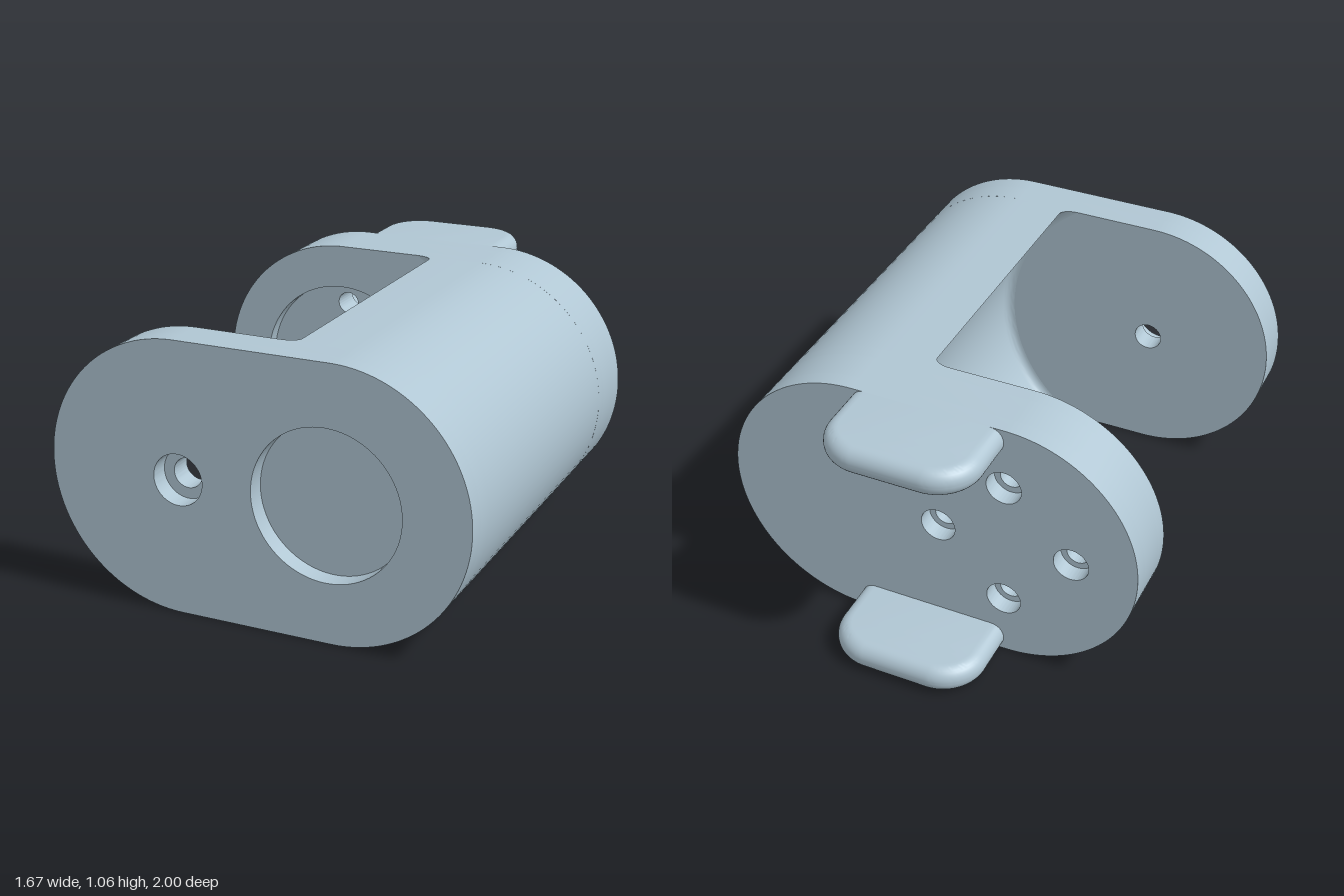
import * as THREE from 'three';
import { toCreasedNormals } from 'three/addons/utils/BufferGeometryUtils.js';

const R = 0.531, CX = 0.305;          // end radius and end centre of the oblong outline
const BORE = 0.67, FILLET = 0.04;     // concave inner wall
const BACK = -0.66, BACK_IN = -0.395, FRONT_IN = 0.835, FRONT = 1;

function oblong() {
  const s = new THREE.Shape();
  s.absarc(CX, R, R, -Math.PI / 2, Math.PI / 2, false);
  s.absarc(-CX, R, R, Math.PI / 2, Math.PI * 1.5, false);
  s.closePath();
  return s;
}

// oblong slab from z0 to z1 with round holes [x, y, radius]
function slab(z0, z1, holes) {
  const s = oblong();
  for (const [x, y, r] of holes) s.holes.push(new THREE.Path().absarc(x, y, r, 0, Math.PI * 2, true));
  const g = new THREE.ExtrudeGeometry(s, { depth: z1 - z0, bevelEnabled: false, curveSegments: 40 });
  g.translate(0, 0, z0);
  return toCreasedNormals(g, 0.5);
}

// cross-section of the side wall for a given bore radius
function wallSection(r) {
  const pts = [], n = 40;
  for (let i = 0; i <= n; i++) {
    const a = -Math.PI / 2 + Math.PI * i / n;
    pts.push([CX + R * Math.cos(a), R + R * Math.sin(a)]);
  }
  const t = Math.asin(R / r);
  for (let i = 0; i <= n; i++) {
    const a = t - 2 * t * i / n;
    pts.push([-CX + r * Math.cos(a), R + r * Math.sin(a)]);
  }
  return pts;
}

// side wall lofted between the plates, filleted where it meets them
function sideWallGeometry() {
  const rows = [], steps = 8;
  for (let k = 0; k <= steps; k++) {
    const t = (k / steps) * Math.PI / 2;
    rows.push([FILLET * (1 - Math.cos(t)), BORE - FILLET + FILLET * Math.sin(t)]);
  }
  const levels = [
    ...rows.map(([d, r]) => [BACK_IN + d, r]),
    ...rows.slice().reverse().map(([d, r]) => [FRONT_IN - d, r]),
  ];
  const pos = [], idx = [];
  let n = 0;
  levels.forEach(([z, r], j) => {
    const sec = wallSection(r);
    n = sec.length;
    for (const [x, y] of sec) pos.push(x, y, z);
    if (j === 0) return;
    for (let i = 0; i < n; i++) {
      const a = (j - 1) * n + i, b = (j - 1) * n + (i + 1) % n;
      idx.push(a, b, b + n, a, b + n, a + n);
    }
  });
  const g = new THREE.BufferGeometry();
  g.setAttribute('position', new THREE.Float32BufferAttribute(pos, 3));
  g.setIndex(idx);
  return toCreasedNormals(g, 0.5);
}

// tongue with rounded corners and fully rounded edges, lying flat, bottom at y = 0
function tabGeometry() {
  const b = 0.054, w = 0.305 - b, end = 1 - b, start = 0.58, c = 0.12;
  const s = new THREE.Shape();
  s.moveTo(-w, start);
  s.lineTo(w, start);
  s.lineTo(w, end - c);
  s.absarc(w - c, end - c, c, 0, Math.PI / 2, false);
  s.absarc(-w + c, end - c, c, Math.PI / 2, Math.PI, false);
  s.closePath();
  const g = new THREE.ExtrudeGeometry(s, {
    depth: 0.004, bevelEnabled: true, bevelThickness: b, bevelSize: b, bevelSegments: 8, curveSegments: 14,
  });
  g.translate(0, 0, b);
  g.rotateX(-Math.PI / 2);
  return toCreasedNormals(g, 0.6);
}

export function createModel() {
  const group = new THREE.Group();
  const material = new THREE.MeshStandardMaterial({ color: 0xb0c6d3 });
  material.name = 'pale blue grey';
  const add = (name, geometry) => {
    const m = new THREE.Mesh(geometry, material);
    m.name = name;
    group.add(m);
    return m;
  };

  // four screw holes around the axis of the left end
  const screws = r => [0, 1, 2, 3].map(i => {
    const a = i * Math.PI / 2;
    return [-CX + 0.27 * Math.cos(a), R + 0.27 * Math.sin(a), r];
  });

  // front plate: through hole, then counterbore and wide shallow pocket
  add('frontPlateInner', slab(FRONT_IN, 0.925, [[-CX, R, 0.058]]));
  add('frontPlateOuter', slab(0.925, FRONT, [[-CX, R, 0.1], [0.285, R, 0.293]]));

  // back plate: counterbores outside, screw holes, round recess inside
  add('backPlateOuter', slab(BACK, -0.59, screws(0.07)));
  add('backPlateMiddle', slab(-0.59, -0.455, screws(0.045)));
  add('backPlateInner', slab(-0.455, BACK_IN, [[-CX, R, 0.355]]));

  add('sideWall', sideWallGeometry());

  // rear tabs, flush with the top and bottom
  add('lowerTab', tabGeometry());
  add('upperTab', tabGeometry()).position.y = 2 * R - 0.112;

  return group;
}
